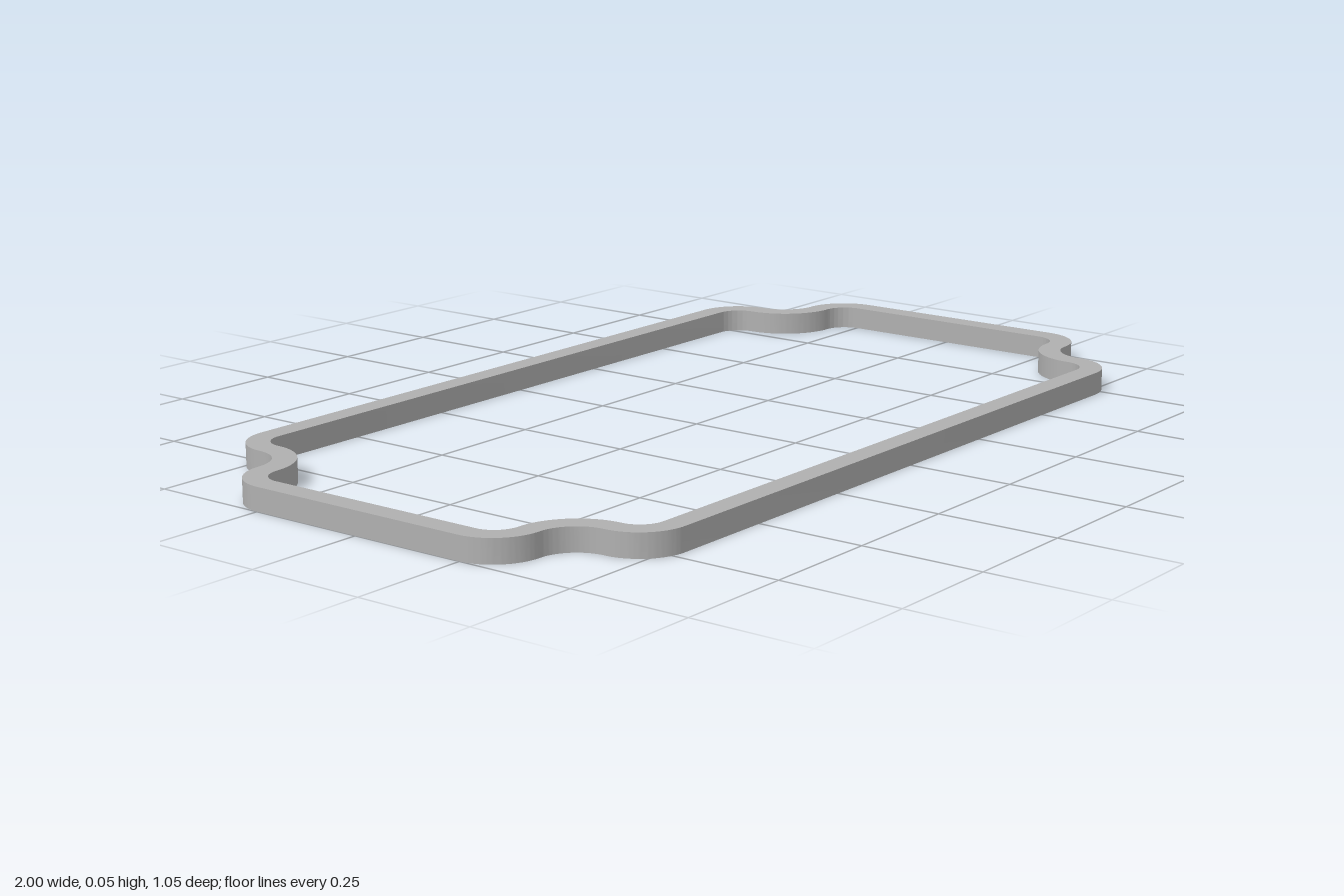
import * as THREE from 'three';
import { toCreasedNormals } from 'three/addons/utils/BufferGeometryUtils.js';

const HEIGHT = 0.048, WIDTH = 0.048;
const CONVEX = 0.1, CONCAVE = 0.08; // outer edge radii
const Z = 0.427, X = 0.9;           // centre of each scooped corner
const STEP = CONVEX + CONCAVE;      // distance to the rounded shoulders

// Plaque outline moved inwards by d; two opposite halves, turned by 180 degrees
function outline(path, d) {
  const q = Math.PI / 2, R = CONVEX - d, r = CONCAVE + d;
  for (const [s, t] of [[1, 0], [-1, Math.PI]]) {
    const arc = (x, y, rad, a, b, cw) => path.absarc(s * x, s * y, rad, t + a * q, t + b * q, cw);
    arc(X, Z - STEP, R, 0, 1, false);
    arc(X, Z, r, 3, 2, true);
    arc(X - STEP, Z, R, 0, 1, false);
    arc(STEP - X, Z, R, 1, 2, false);
    arc(-X, Z, r, 0, -1, true);
    arc(-X, Z - STEP, R, 1, 2, false);
  }
  path.closePath();
  return path;
}

export function createModel() {
  const group = new THREE.Group();
  group.name = 'plaqueFrame';
  const grey = new THREE.MeshStandardMaterial({ color: 0xb0b0b0 });
  grey.name = 'grey';

  // Thin upright band following the plaque outline
  const shape = outline(new THREE.Shape(), 0);
  shape.holes.push(outline(new THREE.Path(), WIDTH));
  const geometry = new THREE.ExtrudeGeometry(shape, { depth: HEIGHT, bevelEnabled: false, curveSegments: 16 });
  geometry.rotateX(-Math.PI / 2);
  geometry.clearGroups();

  const band = new THREE.Mesh(toCreasedNormals(geometry, Math.PI / 5), grey);
  band.name = 'outlineBand';
  group.add(band);
  return group;
}
